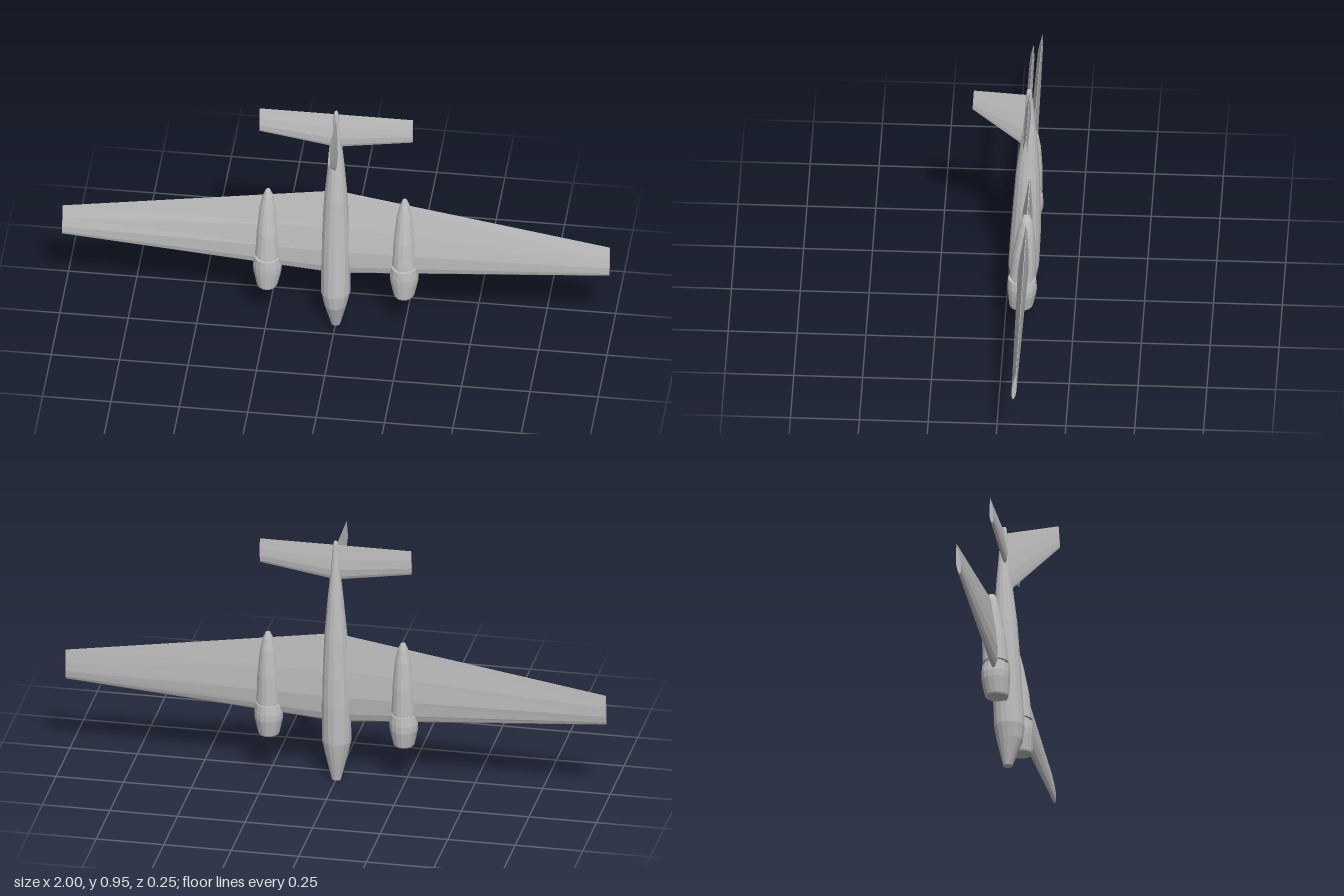
import * as THREE from 'three';

// Skin a row of closed rings (counter-clockwise about the loft direction), capped at both ends
function loft(rings) {
  const n = rings[0].length, pos = [], index = [];
  rings.forEach(r => r.forEach(p => pos.push(...p)));
  for (let i = 0; i < rings.length - 1; i++) {
    for (let j = 0; j < n; j++) {
      const a = i * n + j, b = i * n + (j + 1) % n;
      index.push(a, b, b + n, a, b + n, a + n);
    }
  }
  const end = (rings.length - 1) * n;
  for (let j = 1; j < n - 1; j++) {
    index.push(0, j + 1, j);
    index.push(end, end + j, end + j + 1);
  }
  const geo = new THREE.BufferGeometry();
  geo.setAttribute('position', new THREE.Float32BufferAttribute(pos, 3));
  geo.setIndex(index);
  const flat = geo.toNonIndexed();
  flat.computeVertexNormals();
  return flat;
}

// Body along y from stations [y, half width, front z, back z]
function body(stations, cx = 0, sides = 16) {
  return loft(stations.map(([y, w, zf, zb]) => Array.from({ length: sides }, (_, j) => {
    const a = (j / sides) * Math.PI * 2;
    return [cx + w * Math.sin(a), y, (zf + zb) / 2 + (zf - zb) / 2 * Math.cos(a)];
  })));
}

// Symmetric aerofoil as [chord fraction, thickness fraction]
const half = [[0.02, 0.3], [0.1, 0.7], [0.3, 1], [0.6, 0.75]];
const foil = [[0, 0], ...half.map(([t, o]) => [t, -o]), [1, -0.06], [1, 0.06],
  ...half.slice().reverse()];

// Horizontal surface across x from sections [x, leading y, trailing y, leading z, trailing z, half thickness]
const surface = sections => loft(sections.map(([x, y0, y1, z0, z1, h]) =>
  foil.map(([t, o]) => [x, y0 + (y1 - y0) * t, z0 + (z1 - z0) * t + o * h])));

export function createModel() {
  const model = new THREE.Group();
  const paint = new THREE.MeshStandardMaterial({ color: 0xc0c0c0 });
  paint.name = 'light grey';
  paint.flatShading = true;
  const add = (name, geo) => {
    const mesh = new THREE.Mesh(geo, paint);
    mesh.name = name;
    model.add(mesh);
  };

  // Nose-down fuselage
  add('fuselage', body([
    [0, 0.017, -0.05, -0.084],
    [0.1, 0.042, -0.012, -0.107],
    [0.155, 0.054, -0.005, -0.117],
    [0.3, 0.054, -0.013, -0.123],
    [0.42, 0.051, -0.021, -0.123],
    [0.57, 0.043, -0.032, -0.12],
    [0.72, 0.03, -0.05, -0.111],
    [0.85, 0.017, -0.064, -0.1],
    [0.945, 0.009, -0.071, -0.091],
    [0.955, 0.006, -0.074, -0.088],
  ]));

  // Wing and tailplane, mirrored about the centre line
  const wingTip = [0.31, 0.43, -0.07, -0.081, 0.009];
  add('wing', surface([
    [-1, ...wingTip], [0, 0.23, 0.59, -0.066, -0.086, 0.023], [1, ...wingTip],
  ]));
  const tailTip = [0.845, 0.942, -0.076, -0.083, 0.008];
  add('tailplane', surface([
    [-0.28, ...tailTip], [0, 0.8, 0.942, -0.075, -0.083, 0.011], [0.28, ...tailTip],
  ]));

  // Swept fin: sections [leading y, leading z, trailing y, trailing z, half thickness]
  add('fin', loft([[0.7, -0.06, 0.93, -0.08, 0.009], [0.858, 0.125, 0.944, 0.12, 0.004]]
    .map(([y0, z0, y1, z1, h]) => foil.map(([t, o]) =>
      [-o * h, y0 + (y1 - y0) * t, z0 + (z1 - z0) * t]))));

  // Engine cowls and nacelles
  for (const [side, cx] of [['left', 0.25], ['right', -0.25]]) {
    add(side + 'Cowl', body([
      [0.16, 0.036, -0.022, -0.104],
      [0.165, 0.039, -0.02, -0.107],
      [0.225, 0.052, -0.015, -0.12],
      [0.25, 0.053, -0.014, -0.121],
      [0.285, 0.047, -0.016, -0.118],
    ], cx));
    add(side + 'Nacelle', body([
      [0.28, 0.04, -0.03, -0.11],
      [0.297, 0.04, -0.03, -0.11],
      [0.298, 0.046, -0.021, -0.117],
      [0.4, 0.041, -0.032, -0.118],
      [0.5, 0.03, -0.051, -0.112],
      [0.55, 0.018, -0.063, -0.104],
      [0.57, 0.009, -0.071, -0.097],
    ], cx));
  }
  return model;
}
